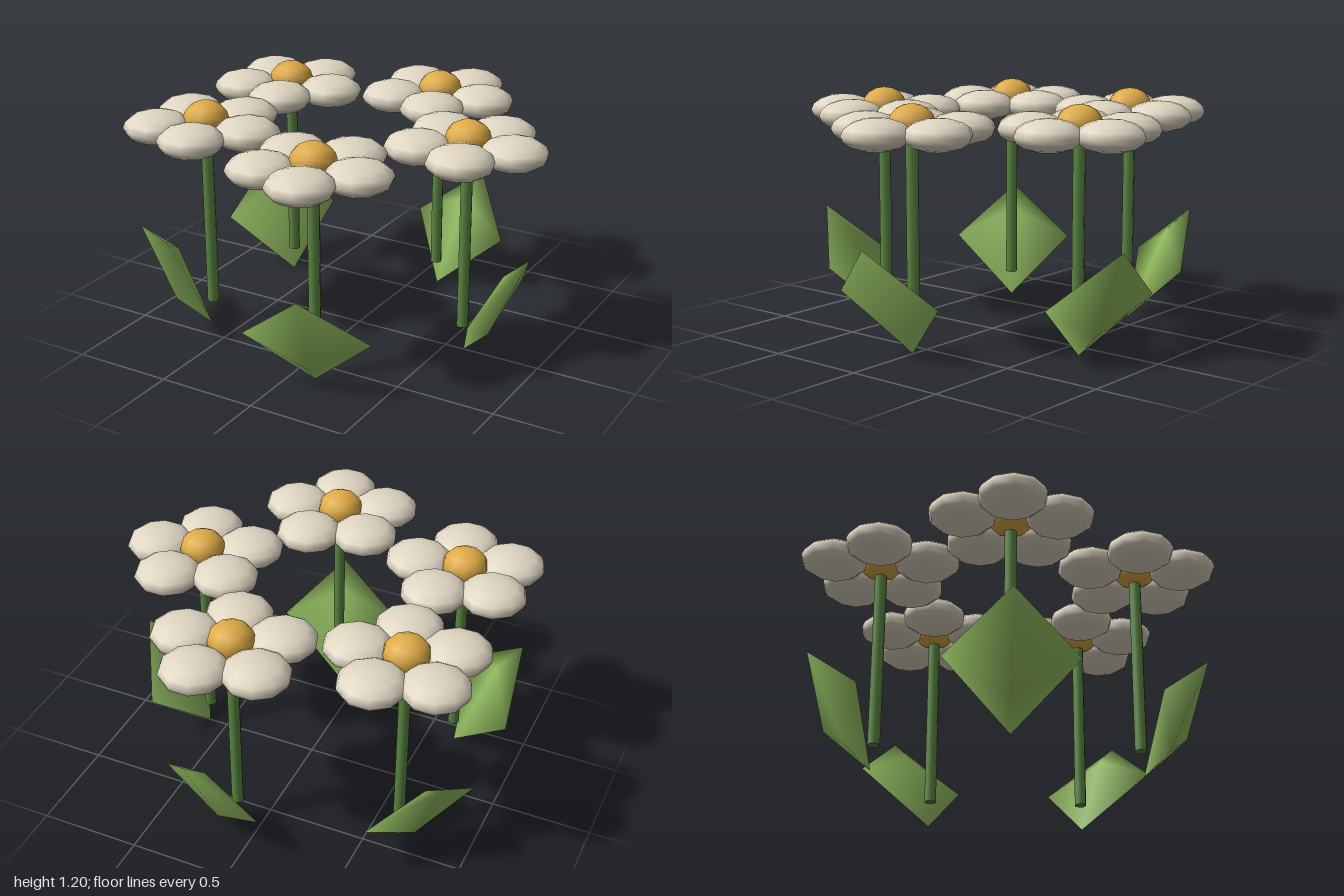
import * as THREE from 'three';

export function createModel() {
  const model = new THREE.Group();
  model.name = 'flowerPatch';

  const mat = (name, color) => {
    const m = new THREE.MeshStandardMaterial({ color });
    m.name = name;
    return m;
  };
  const petalMat = mat('cream petal', 0xdfd6c2);
  const centreMat = mat('golden centre', 0xdfab46);
  const stemMat = mat('stem green', 0x5b8742);
  const leafMat = mat('leaf green', 0x8fb85e);

  const add = (parent, name, geometry, material, x, y, z) => {
    const mesh = new THREE.Mesh(geometry, material);
    mesh.name = name;
    mesh.position.set(x, y, z);
    parent.add(mesh);
    return mesh;
  };

  // Flattened low-poly balls for the petals and the centre
  const petalGeo = new THREE.SphereGeometry(1, 10, 8).scale(0.165, 0.078, 0.165);
  const centreGeo = new THREE.SphereGeometry(1, 10, 8).scale(0.112, 0.088, 0.112);
  const stemGeo = new THREE.CylinderGeometry(0.03, 0.03, 0.95, 8);

  // Diamond leaf leaning outward (+z), thickened low outside and high inside
  const leafGeo = new THREE.BufferGeometry();
  leafGeo.setAttribute('position', new THREE.Float32BufferAttribute([
    0, 0, 0.01, // base
    0, 0.56, 0.345, // tip
    -0.31, 0.295, 0.175, 0.31, 0.295, 0.175, // side corners
    0, 0.115, 0.14, // outer ridge
    0, 0.445, 0.21, // inner ridge
  ], 3));
  leafGeo.setIndex([
    0, 3, 4, 0, 4, 2, 1, 4, 3, 1, 2, 4,
    0, 5, 3, 0, 2, 5, 1, 3, 5, 1, 5, 2,
  ]);
  leafGeo.computeVertexNormals();

  // Five flowers in a ring
  const spots = [[0.59, 0], [0.12, 0.62], [-0.64, 0.385], [-0.64, -0.385], [0.12, -0.62]];
  spots.forEach(([x, z], i) => {
    const flower = new THREE.Group();
    flower.name = 'flower' + (i + 1);
    flower.position.set(x, 0, z);
    model.add(flower);

    add(flower, 'stem', stemGeo, stemMat, 0, 0.605, 0);
    add(flower, 'flowerCentre', centreGeo, centreMat, 0, 1.112, 0);
    for (let p = 0; p < 5; p++) {
      const a = (p * Math.PI * 2) / 5;
      add(flower, 'petal', petalGeo, petalMat, 0.238 * Math.cos(a), 1.077, 0.238 * Math.sin(a));
    }
    const leaf = add(flower, 'leaf', leafGeo, leafMat, 0, 0, 0);
    leaf.rotation.y = Math.PI / 2 - (i * Math.PI * 2) / 5;
  });

  return model;
}
